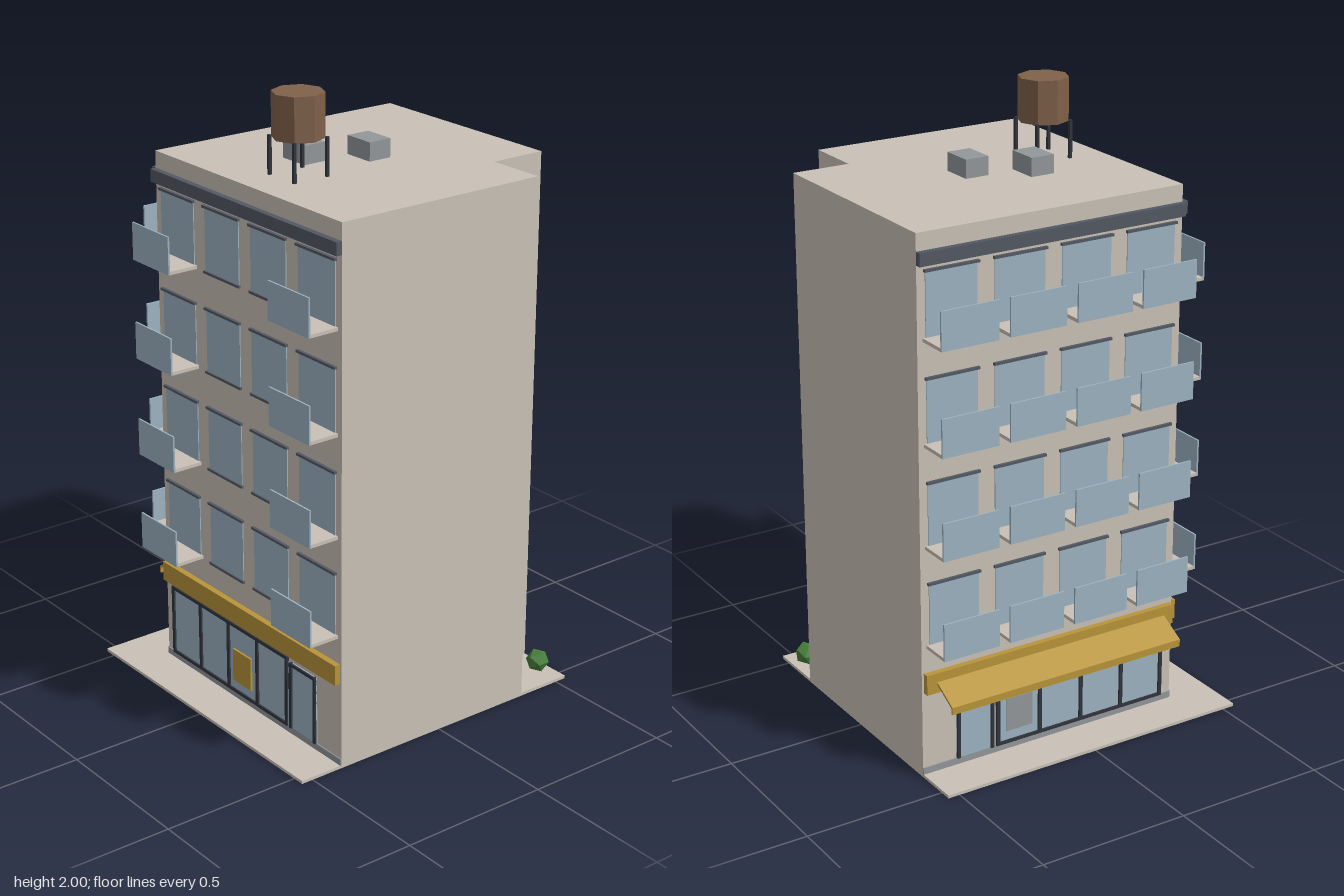
import * as THREE from 'three';

const mat = (name, color) => {
  const m = new THREE.MeshStandardMaterial({ color });
  m.name = name;
  return m;
};

export function createModel() {
  const wall = mat('wall beige', 0xc9c1b6);
  const glass = mat('glass blue', 0x9cb3c1);
  const slate = mat('slate trim', 0x535862);
  const dark = mat('dark frame', 0x30343c);
  const gold = mat('awning gold', 0xb8943a);
  const grey = mat('metal grey', 0x92979a);
  const brown = mat('tank brown', 0x7f6149);
  const green = mat('leaf green', 0x477f3a);

  const model = new THREE.Group();
  model.name = 'apartmentBuilding';

  const add = (parent, name, geo, material) => {
    const mesh = new THREE.Mesh(geo, material);
    mesh.name = name;
    parent.add(mesh);
    return mesh;
  };
  // Box given by its minimum and maximum on each axis
  const box = (parent, name, material, x0, x1, y0, y1, z0, z1) => {
    const mesh = add(parent, name, new THREE.BoxGeometry(x1 - x0, y1 - y0, z1 - z0), material);
    mesh.position.set((x0 + x1) / 2, (y0 + y1) / 2, (z0 + z1) / 2);
    return mesh;
  };

  const ROOF = 1.743, PITCH = 0.3265;

  // Pavement and L-shaped tower with a notch at the back corner
  box(model, 'pavement', wall, -0.54, 0.54, 0, 0.01, -0.54, 0.54);
  const plan = new THREE.Shape([
    [-0.39, -0.39], [0.54, -0.39], [0.54, 0.348], [0.345, 0.348], [0.345, 0.54], [-0.39, 0.54],
  ].map(([x, y]) => new THREE.Vector2(x, y)));
  const tower = add(model, 'tower',
    new THREE.ExtrudeGeometry(plan, { depth: ROOF - 0.01, bevelEnabled: false }), wall);
  tower.rotation.x = -Math.PI / 2;
  tower.position.y = 0.01;

  // Street facade: local x runs along it, local z points outward; s mirrors the shop
  const facade = (name, s, balconies) => {
    const g = new THREE.Group();
    g.name = name;
    model.add(g);
    const span = (n, m, u0, u1, y0, y1, w0, w1) =>
      box(g, n, m, Math.min(s * u0, s * u1), Math.max(s * u0, s * u1), y0, y1, w0, w1);

    for (let floor = 0; floor < 4; floor++) {
      const y = 0.438 + floor * PITCH;
      for (const u of [-0.35, -0.117, 0.117, 0.35]) {
        box(g, 'window', glass, u - 0.087, u + 0.087, y, y + 0.21, 0, 0.003);
        box(g, 'lintel', slate, u - 0.092, u + 0.092, y + 0.207, y + 0.215, 0, 0.01);
        box(g, 'sill', slate, u - 0.092, u + 0.092, y - 0.002, y + 0.006, 0, 0.008);
        if (!balconies.includes(u)) continue;
        box(g, 'balconySlab', wall, u - 0.097, u + 0.097, y - 0.002, y + 0.009, 0, 0.099);
        box(g, 'balconyGlass', glass, u - 0.097, u + 0.097, y - 0.002, y + 0.12, 0.099, 0.105);
      }
    }
    // Cornice, sign band and plinth
    box(g, 'cornice', slate, -0.465, 0.465, 1.647, 1.688, 0, 0.02);
    box(g, 'signBand', gold, -0.458, 0.458, 0.288, 0.354, 0, 0.02);
    box(g, 'plinth', grey, -0.465, 0.465, 0.01, 0.032, 0, 0.004);

    // Shop window with four panes
    span('shopGlass', glass, -0.427, 0.203, 0.032, 0.275, 0, 0.004);
    for (let i = 0; i <= 4; i++) {
      const u = -0.421 + i * 0.1545;
      span('shopMullion', dark, u - 0.006, u + 0.006, 0.032, 0.275, 0, 0.01);
    }
    span('shopHead', dark, -0.427, 0.203, 0.264, 0.275, 0, 0.01);
    span('shopBase', dark, -0.427, 0.203, 0.032, 0.042, 0, 0.01);

    // Door
    span('doorGlass', glass, 0.213, 0.345, 0.032, 0.26, 0, 0.004);
    span('doorPost', dark, 0.213, 0.224, 0.032, 0.26, 0, 0.01);
    span('doorPost', dark, 0.334, 0.345, 0.032, 0.26, 0, 0.01);
    span('doorHead', dark, 0.213, 0.345, 0.25, 0.26, 0, 0.01);
    return { g, span };
  };

  const front = facade('frontFacade', 1, [-0.35, 0.35]);
  front.g.position.set(0.075, 0, 0.39);
  front.span('poster', gold, -0.083, 0.012, 0.074, 0.186, 0.004, 0.011);

  const side = facade('sideFacade', -1, [-0.35, -0.117, 0.117, 0.35]);
  side.g.position.set(-0.39, 0, -0.075);
  side.g.rotation.y = -Math.PI / 2;
  side.span('poster', grey, 0.07, 0.165, 0.074, 0.186, 0.004, 0.008);

  // Sloping awning with a hanging lip, extruded along the side facade
  const profile = new THREE.Shape([
    [0, 0.335], [0.108, 0.276], [0.108, 0.252], [0.102, 0.252], [0.102, 0.271], [0, 0.326],
  ].map(([x, y]) => new THREE.Vector2(x, y)));
  const awning = add(side.g, 'awning',
    new THREE.ExtrudeGeometry(profile, { depth: 0.845, bevelEnabled: false }), gold);
  awning.rotation.y = -Math.PI / 2;
  awning.position.x = 0.4225;

  // Framed windows on the two notch walls
  for (const [name, x, z, turn] of [
    ['notchSideWindows', 0.345, -0.447, Math.PI / 2],
    ['notchBackWindows', 0.443, -0.348, Math.PI],
  ]) {
    const g = new THREE.Group();
    g.name = name;
    g.position.set(x, 0, z);
    g.rotation.y = turn;
    model.add(g);
    for (let floor = 0; floor < 4; floor++) {
      const y = 0.462 + floor * PITCH;
      box(g, 'notchGlass', glass, -0.045, 0.045, y, y + 0.148, 0, 0.004);
      for (const s of [-1, 1]) {
        box(g, 'notchJamb', dark, s * 0.043 - 0.006, s * 0.043 + 0.006, y, y + 0.148, 0, 0.012);
      }
      box(g, 'notchHead', dark, -0.049, 0.049, y + 0.137, y + 0.149, 0, 0.012);
      box(g, 'notchSill', slate, -0.054, 0.054, y - 0.004, y + 0.007, 0, 0.019);
    }
  }

  // Roof units
  box(model, 'roofUnit', grey, 0.005, 0.113, ROOF, 1.803, -0.131, -0.051);
  box(model, 'roofUnit', grey, -0.084, 0.023, ROOF, 1.803, 0.047, 0.128);

  // Octagonal water tank on four legs
  const tank = new THREE.Group();
  tank.name = 'waterTank';
  tank.position.set(0.097, 0, 0.207);
  model.add(tank);
  const barrel = new THREE.CylinderGeometry(0.081, 0.081, 0.139, 8).toNonIndexed();
  barrel.computeVertexNormals();
  add(tank, 'tankBarrel', barrel, brown).position.y = 1.9305;
  for (const sx of [-0.061, 0.061]) {
    for (const sz of [-0.061, 0.061]) {
      box(tank, 'tankLeg', dark, sx - 0.005, sx + 0.005, ROOF, 1.865, sz - 0.005, sz + 0.005);
    }
  }

  // Faceted shrub in the notch
  add(model, 'shrub', new THREE.IcosahedronGeometry(0.039, 0), green).position.set(0.455, 0.046, -0.495);

  return model;
}
